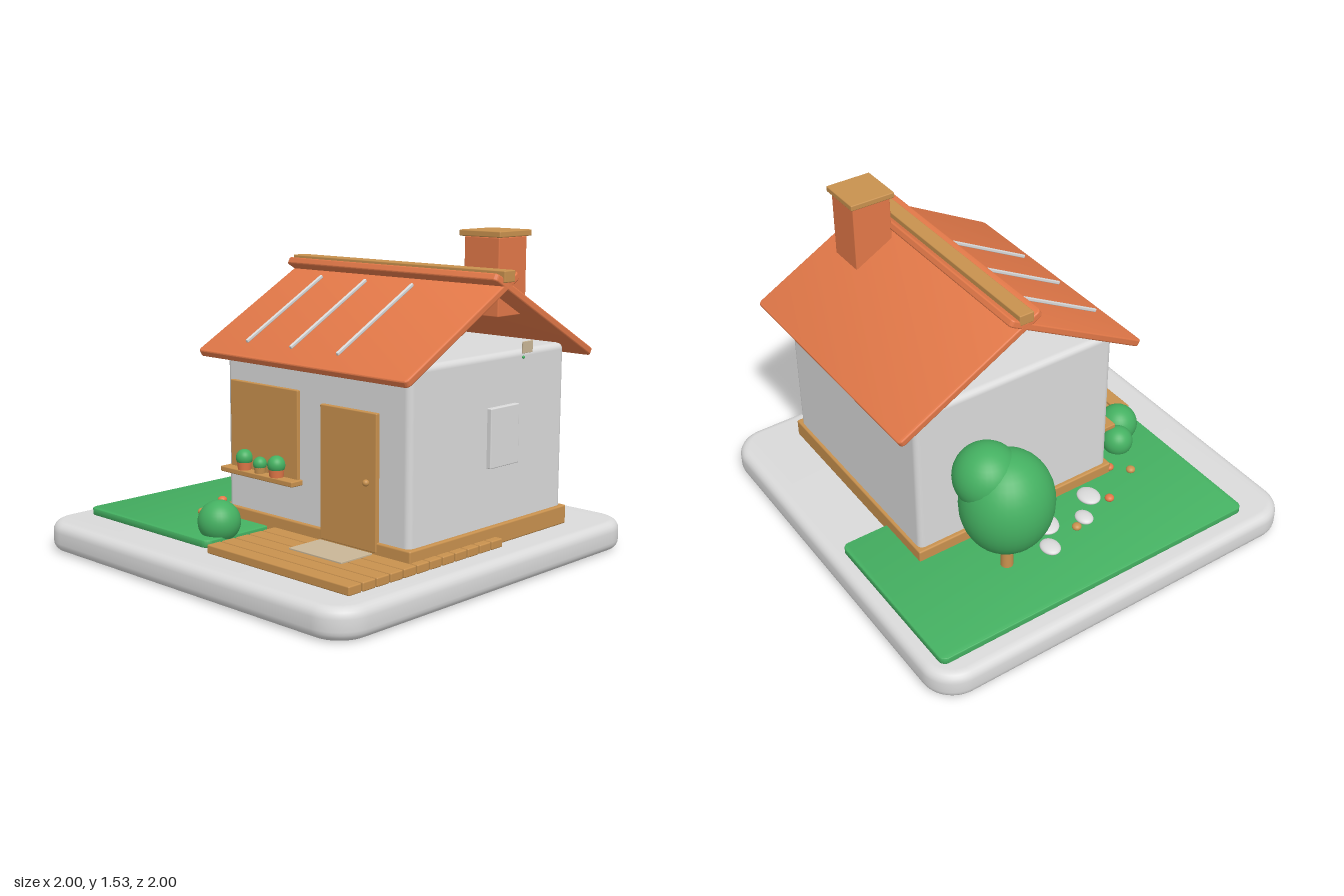
import * as THREE from 'three';
import { toCreasedNormals } from 'three/addons/utils/BufferGeometryUtils.js';
import { RoundedBoxGeometry } from 'three/addons/geometries/RoundedBoxGeometry.js';

function material(name, color) {
  const m = new THREE.MeshStandardMaterial({ color });
  m.name = name;
  return m;
}

// Horizontal slab with rounded plan corners and bevelled rims, centred on its origin
function slabGeometry(w, h, d, r, bevel) {
  const x = w / 2 - bevel, y = d / 2 - bevel, q = r - bevel;
  const s = new THREE.Shape();
  s.moveTo(-x + q, -y);
  s.lineTo(x - q, -y);
  s.absarc(x - q, -y + q, q, -Math.PI / 2, 0);
  s.lineTo(x, y - q);
  s.absarc(x - q, y - q, q, 0, Math.PI / 2);
  s.lineTo(-x + q, y);
  s.absarc(-x + q, y - q, q, Math.PI / 2, Math.PI);
  s.lineTo(-x, -y + q);
  s.absarc(-x + q, -y + q, q, Math.PI, Math.PI * 1.5);
  const g = new THREE.ExtrudeGeometry(s, {
    depth: h - 2 * bevel, bevelThickness: bevel, bevelSize: bevel, bevelSegments: 5, curveSegments: 8,
  });
  g.translate(0, 0, -h / 2 + bevel);
  g.rotateX(-Math.PI / 2);
  return toCreasedNormals(g, 0.6);
}

export function createModel() {
  const model = new THREE.Group();
  model.name = 'cottage';
  const white = material('plaster white', 0xdadada);
  const green = material('leaf green', 0x44b061);
  const orange = material('terracotta', 0xe27848);
  const wood = material('wood', 0xc8914e);
  const beige = material('beige', 0xc9b697);

  function add(name, geometry, mat, x, y, z, parent = model) {
    const mesh = new THREE.Mesh(geometry, mat);
    mesh.name = name;
    mesh.position.set(x, y, z);
    parent.add(mesh);
    return mesh;
  }
  // Box given by its limits on each axis
  function box(name, mat, [x0, x1], [y0, y1], [z0, z1], radius = 0.005) {
    const g = new RoundedBoxGeometry(x1 - x0, y1 - y0, z1 - z0, 2, radius);
    return add(name, g, mat, (x0 + x1) / 2, (y0 + y1) / 2, (z0 + z1) / 2);
  }
  function ball(name, mat, x, y, z, rx, ry = rx, rz = rx) {
    const mesh = add(name, new THREE.SphereGeometry(1, 32, 20), mat, x, y, z);
    mesh.scale.set(rx, ry, rz);
    return mesh;
  }

  // Ground
  add('base', slabGeometry(2, 0.14, 2, 0.16, 0.045), white, 0, 0.07, 0);
  add('lawn', slabGeometry(0.86, 0.035, 1.71, 0.035, 0.006), green, -0.47, 0.1575, -0.075);
  for (let i = 0; i < 12; i++) {
    const z = 0.82 - i * 0.0825;
    box('deckPlank', wood, [0.012, 0.872], [0.14, 0.18], [z - 0.075, z], 0.006);
  }
  box('doormat', beige, [0.32, 0.635], [0.178, 0.187], [0.43, 0.62], 0.002);

  // House body
  box('plinth', wood, [-0.34, 0.835], [0.14, 0.23], [-0.69, 0.415], 0.008);
  box('walls', white, [-0.32, 0.815], [0.2, 1], [-0.675, 0.4], 0.03);
  box('sideWindow', white, [0.8, 0.838], [0.495, 0.765], [-0.31, -0.11]);
  box('frontShutter', wood, [-0.28, 0.165], [0.42, 0.83], [0.39, 0.416]);
  box('door', wood, [0.31, 0.645], [0.185, 0.79], [0.39, 0.42]);
  ball('doorKnob', wood, 0.595, 0.487, 0.43, 0.015);
  box('gableVent', beige, [0.855, 0.863], [0.992, 1.045], [-0.365, -0.295], 0.002);
  ball('wallPin', green, 0.82, 0.965, -0.355, 0.007);

  // Flower shelf with three potted plants
  box('flowerShelf', wood, [-0.298, 0.18], [0.4, 0.425], [0.39, 0.467]);
  for (const [x, r, h, mat] of [[-0.165, 0.036, 0.05, orange], [-0.06, 0.029, 0.038, wood], [0.05, 0.038, 0.05, orange]]) {
    add('flowerPot', new THREE.CylinderGeometry(r, r * 0.85, h, 24), mat, x, 0.425 + h / 2, 0.437);
    ball('pottedPlant', green, x, 0.425 + h + 0.005, 0.437, r * 1.1);
  }

  // Two crossing roof panels, the front one with raised strips
  for (const side of [1, -1]) {
    const panel = new THREE.Group();
    panel.name = side > 0 ? 'frontRoof' : 'backRoof';
    panel.position.set(0.245, 1.148, -0.145 + side * 0.283);
    panel.rotation.x = side * 0.502;
    model.add(panel);
    add('roofPanel', slabGeometry(1.288, 0.035, 0.83, 0.022, 0.008), orange, 0, 0, 0, panel);
    if (side > 0) {
      for (const x of [-0.145, 0.14, 0.427]) {
        add('roofStrip', new RoundedBoxGeometry(0.014, 0.016, 0.55, 2, 0.004), white, x - 0.245, 0.03, 0.045, panel);
      }
    }
  }
  box('ridgeBeam', wood, [-0.4, 0.897], [1.318, 1.37], [-0.183, -0.108]);
  box('chimney', orange, [0.58, 0.775], [1.15, 1.5], [-0.42, -0.222]);
  box('chimneyCap', wood, [0.56, 0.79], [1.5, 1.528], [-0.437, -0.208]);

  // Tree and bushes
  add('treeTrunk', new THREE.CylinderGeometry(0.026, 0.03, 0.25, 20), wood, -0.575, 0.29, -0.37);
  ball('treeCrown', green, -0.575, 0.56, -0.37, 0.212, 0.255, 0.22);
  ball('treeCrownTop', green, -0.518, 0.702, -0.438, 0.155);
  ball('smallBush', green, -0.205, 0.212, 0.565, 0.077);
  ball('largeBush', green, -0.11, 0.227, 0.642, 0.098);

  // Stepping stones and pebbles
  for (const [x, z, rx, rz] of [[-0.61, -0.15, 0.056, 0.046], [-0.47, -0.08, 0.077, 0.065],
    [-0.54, 0.1, 0.05, 0.041], [-0.432, 0.21, 0.064, 0.054]]) {
    ball('steppingStone', white, x, 0.187, z, rx, 0.02, rz);
  }
  for (const [x, z, mat] of [[-0.575, 0.03, wood], [-0.505, 0.28, orange], [-0.4, 0.495, wood], [-0.325, 0.42, orange]]) {
    ball('pebble', mat, x, 0.192, z, 0.023, 0.017, 0.023);
  }
  return model;
}
